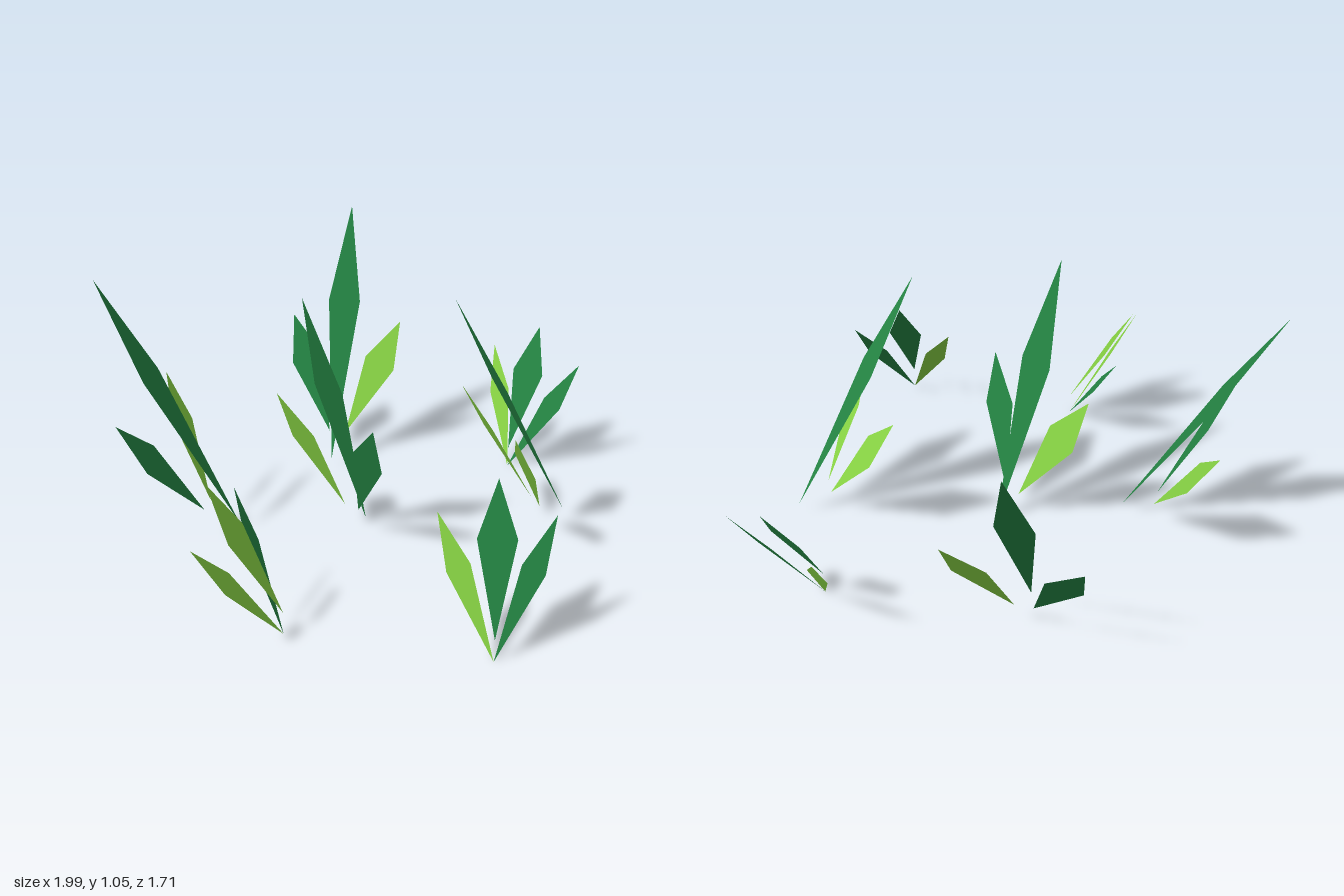
import * as THREE from 'three';

const green = new THREE.MeshStandardMaterial({ name: 'deep green', color: 0x248443, side: THREE.DoubleSide });
const lime = new THREE.MeshStandardMaterial({ name: 'lime green', color: 0x88d444, side: THREE.DoubleSide });
const deg = THREE.MathUtils.degToRad;

// Flat kite-shaped blade, pointed at both ends, widest at 5/8 of its length.
function blade(name, material, length, halfWidth, x = 0, y = 0, z = 0, angle = 0) {
  const shape = new THREE.Shape([
    new THREE.Vector2(0, 0),
    new THREE.Vector2(halfWidth, length * 0.625),
    new THREE.Vector2(0, length),
    new THREE.Vector2(-halfWidth, length * 0.625),
  ]);
  const mesh = new THREE.Mesh(new THREE.ShapeGeometry(shape), material);
  mesh.name = name;
  mesh.position.set(x, y, z);
  mesh.rotation.z = deg(angle);
  return mesh;
}

// A clump is turned toward its lean direction and then tilted that way.
function clump(name, [x, y, z], [leanX, leanZ], tilt, blades) {
  const group = new THREE.Group();
  group.name = name;
  group.position.set(x, y, z);
  group.rotation.set(-deg(tilt), Math.atan2(-leanX, -leanZ), 0, 'YXZ');
  group.add(...blades);
  return group;
}

// One tall blade with a short blade behind it on each side.
function tallClump(position, lean, tilt, back, leftMaterial, rightMaterial) {
  return clump('tallClump', position, lean, tilt, [
    blade('tallBlade', green, 1.09, 0.068),
    blade('leftShortBlade', leftMaterial, 0.54, 0.069, -0.035, 0.112, -back, 22),
    blade('rightShortBlade', rightMaterial, 0.54, 0.069, 0.035, 0.112, -back, -22),
  ]);
}

// A short middle blade in front of two narrow spreading blades.
function shortClump(position, lean, leftMaterial, middleMaterial, rightMaterial) {
  return clump('shortClump', position, lean, 27.3, [
    blade('middleBlade', middleMaterial, 0.535, 0.068, 0, 0.08, 0.043),
    blade('leftNarrowBlade', leftMaterial, 0.535, 0.043, 0, 0, 0, 22),
    blade('rightNarrowBlade', rightMaterial, 0.535, 0.043, 0, 0, 0, -22),
  ]);
}

export function createModel() {
  const model = new THREE.Group();
  model.name = 'grassPatch';
  model.add(
    tallClump([-0.37, 0.053, -0.39], [-0.46, -0.89], 27.3, 0.085, green, lime),
    tallClump([0.24, 0.053, -0.455], [0.866, -0.5], 27.3, 0.085, green, lime),
    tallClump([0.532, 0.053, 0.53], [-0.866, -0.5], 27.3, 0.085, lime, lime),
    tallClump([0.013, 0.02, -0.065], [-1, 0], 17.2, 0.053, green, lime),
    shortClump([-0.713, 0.008, 0.187], [-0.447, -0.894], lime, lime, green),
    shortClump([-0.367, 0.008, 0.825], [0.8, -0.6], lime, green, green),
    shortClump([0.738, 0.008, 0.122], [0.99, -0.138], lime, green, green),
  );
  return model;
}
